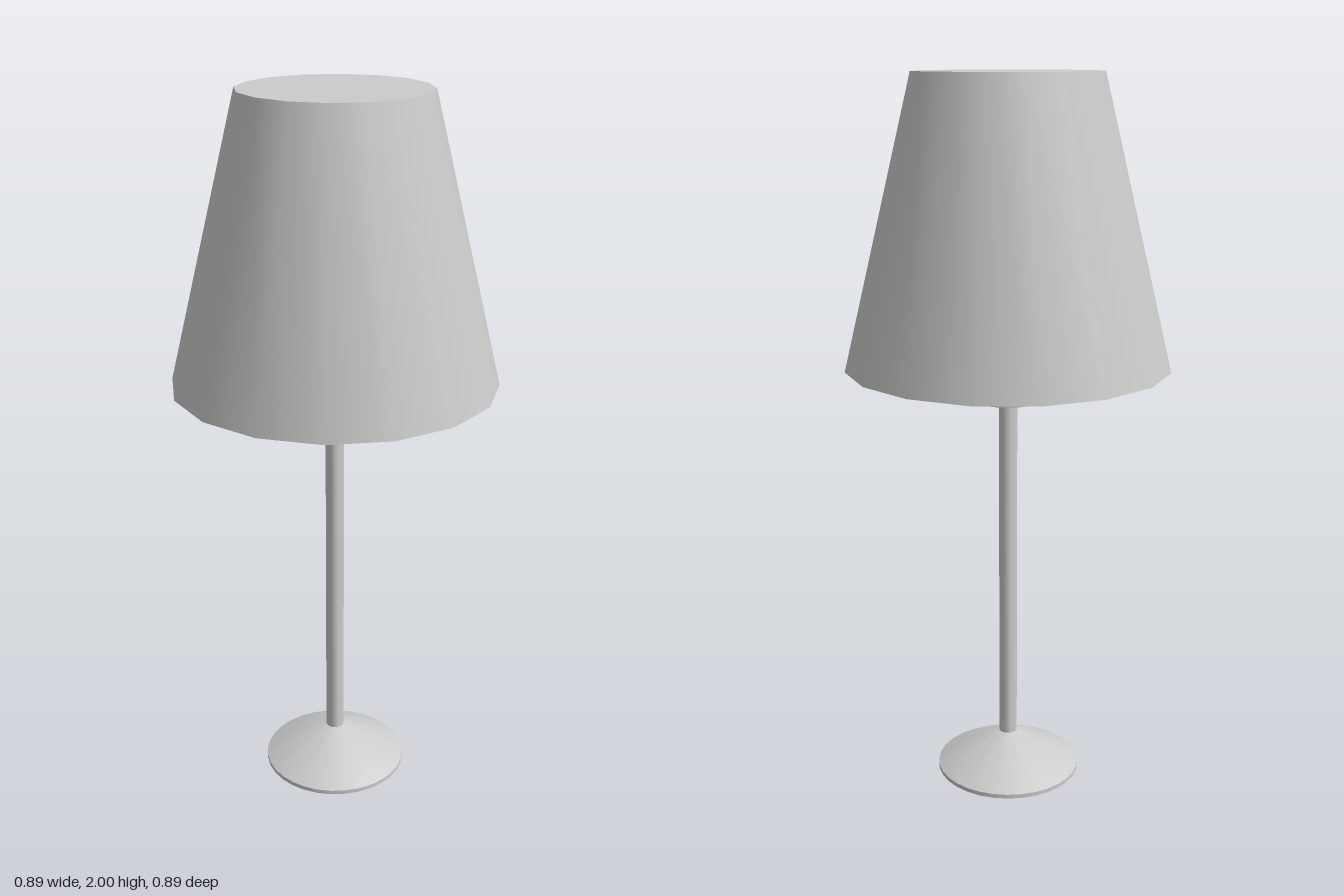
import * as THREE from 'three';
import { toCreasedNormals } from 'three/addons/utils/BufferGeometryUtils.js';

const material = new THREE.MeshStandardMaterial({ color: 0xcccccc });

// Turned part from a [radius, height] profile that runs from bottom to top on the outside
function turned(name, profile, sides) {
  const points = profile.map(([r, y]) => new THREE.Vector2(r, y));
  const geometry = toCreasedNormals(new THREE.LatheGeometry(points, sides), Math.PI / 6);
  const mesh = new THREE.Mesh(geometry, material);
  mesh.name = name;
  return mesh;
}

export function createModel() {
  const lamp = new THREE.Group();
  lamp.name = 'tableLamp';

  // Shallow conical foot with a thin rim
  lamp.add(turned('base', [[0, 0], [0.207, 0], [0.207, 0.012], [0.028, 0.11], [0, 0.11]], 32));

  // Slender pole
  lamp.add(turned('pole', [[0, 0.1], [0.026, 0.1], [0.026, 1.14], [0, 1.14]], 16));

  // Collar below the shade
  lamp.add(turned('collar', [[0, 1.13], [0.115, 1.13], [0.115, 1.25], [0, 1.25]], 16));

  // Narrower holder rising inside the shade to carry it
  lamp.add(turned('holder', [[0, 1.24], [0.088, 1.24], [0.088, 1.99], [0, 1.99]], 16));

  // Tapered shade: ceiling and inner wall, lower rim, outer wall, closed top
  lamp.add(turned('shade', [
    [0, 1.985], [0.248, 1.985], [0.438, 1.22],
    [0.447, 1.22], [0.255, 2], [0, 2],
  ], 16));

  return lamp;
}
